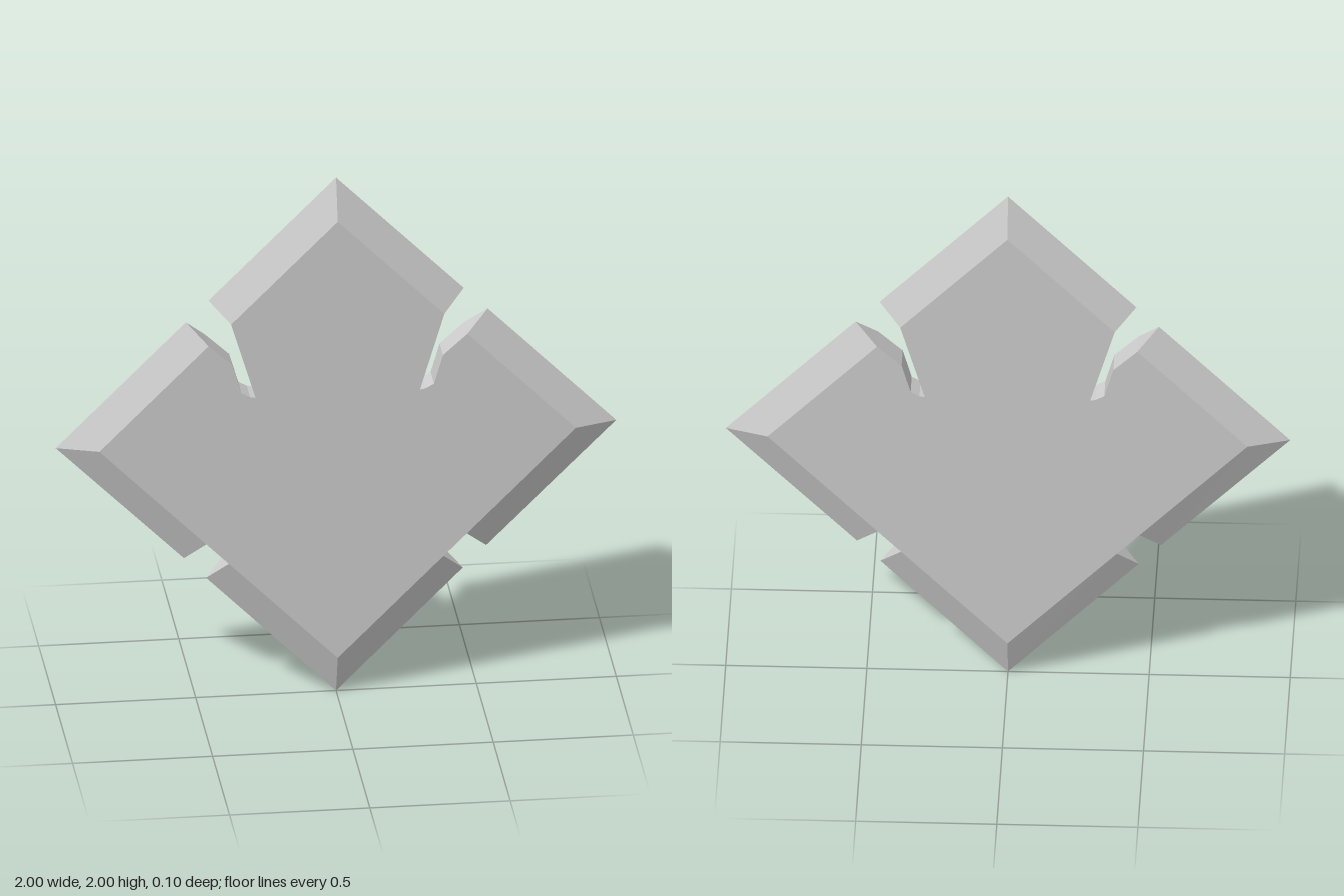
import * as THREE from 'three';

const HALF = 0.05; // half thickness of the plate

// Sharpened rim runs, counterclockwise seen from the front.
// Each entry is [outerX, outerY, innerX, innerY].
const rims = [
  [[0.455, 1.545, 0.38, 1.47], [0, 2, 0, 1.85], [-0.455, 1.545, -0.38, 1.47]],
  [[-0.535, 1.465, -0.46, 1.39], [-1, 1, -0.85, 1], [-0.542, 0.546, -0.468, 0.618]],
  [[-0.463, 0.465, -0.388, 0.538], [0, 0, 0, 0.15], [0.452, 0.455, 0.377, 0.527]],
  [[0.535, 0.538, 0.46, 0.61], [1, 1, 0.85, 1], [0.54, 1.46, 0.462, 1.388]],
];

// Slot walls following each rim run; the lower notches have a straight floor.
const slot = [[-0.293, 1.18], [-0.312, 1.183], [-0.343, 1.2], [-0.375, 1.31]];
const mirroredSlot = slot.map(([x, y]) => [-x, y]).reverse();
const slots = [slot, [], [], mirroredSlot];

function makeMesh(name, positions) {
  const geometry = new THREE.BufferGeometry();
  geometry.setAttribute('position', new THREE.Float32BufferAttribute(positions, 3));
  geometry.computeVertexNormals();
  const mesh = new THREE.Mesh(
    geometry,
    new THREE.MeshStandardMaterial({ color: 0xcccccc, flatShading: true }),
  );
  mesh.name = name;
  return mesh;
}

export function createModel() {
  const group = new THREE.Group();
  group.name = 'notchedDiamondPlate';

  const outer = (p) => [p[0], p[1], 0];
  const inner = (p, side) => [p[2], p[3], side * HALF];
  const tri = (out, a, b, c) => out.push(...a, ...b, ...c);
  const quad = (out, a, b, c, d) => { tri(out, a, b, c); tri(out, a, c, d); };

  const outline = [];
  const walls = [];
  rims.forEach((rim, i) => {
    // Bevels on both sides, meeting at the sharp outer edge
    const bevel = [];
    for (let j = 0; j < rim.length - 1; j++) {
      const a = rim[j], b = rim[j + 1];
      quad(bevel, outer(a), outer(b), inner(b, 1), inner(a, 1));
      quad(bevel, outer(b), outer(a), inner(a, -1), inner(b, -1));
    }
    // Triangular ends facing the notches
    const first = rim[0], last = rim[rim.length - 1];
    tri(bevel, outer(first), inner(first, 1), inner(first, -1));
    tri(bevel, outer(last), inner(last, -1), inner(last, 1));
    group.add(makeMesh(['topBevel', 'rightBevel', 'bottomBevel', 'leftBevel'][i], bevel));

    // Walls of the notch leading to the next rim run
    const next = rims[(i + 1) % rims.length][0];
    const path = [[last[2], last[3]], ...slots[i], [next[2], next[3]]];
    for (let j = 0; j < path.length - 1; j++) {
      const a = path[j], b = path[j + 1];
      quad(walls, [...a, -HALF], [...b, -HALF], [...b, HALF], [...a, HALF]);
    }
    outline.push(...rim.map((p) => [p[2], p[3]]), ...slots[i]);
  });
  group.add(makeMesh('notchWalls', walls));

  // Flat front and back faces
  const points = outline.map(([x, y]) => new THREE.Vector2(x, y));
  const front = [], back = [];
  for (const [a, b, c] of THREE.ShapeUtils.triangulateShape(points, [])) {
    const at = (k, z) => [...outline[k], z];
    tri(front, at(a, HALF), at(b, HALF), at(c, HALF));
    tri(back, at(a, -HALF), at(c, -HALF), at(b, -HALF));
  }
  group.add(makeMesh('frontFace', front), makeMesh('backFace', back));

  return group;
}
